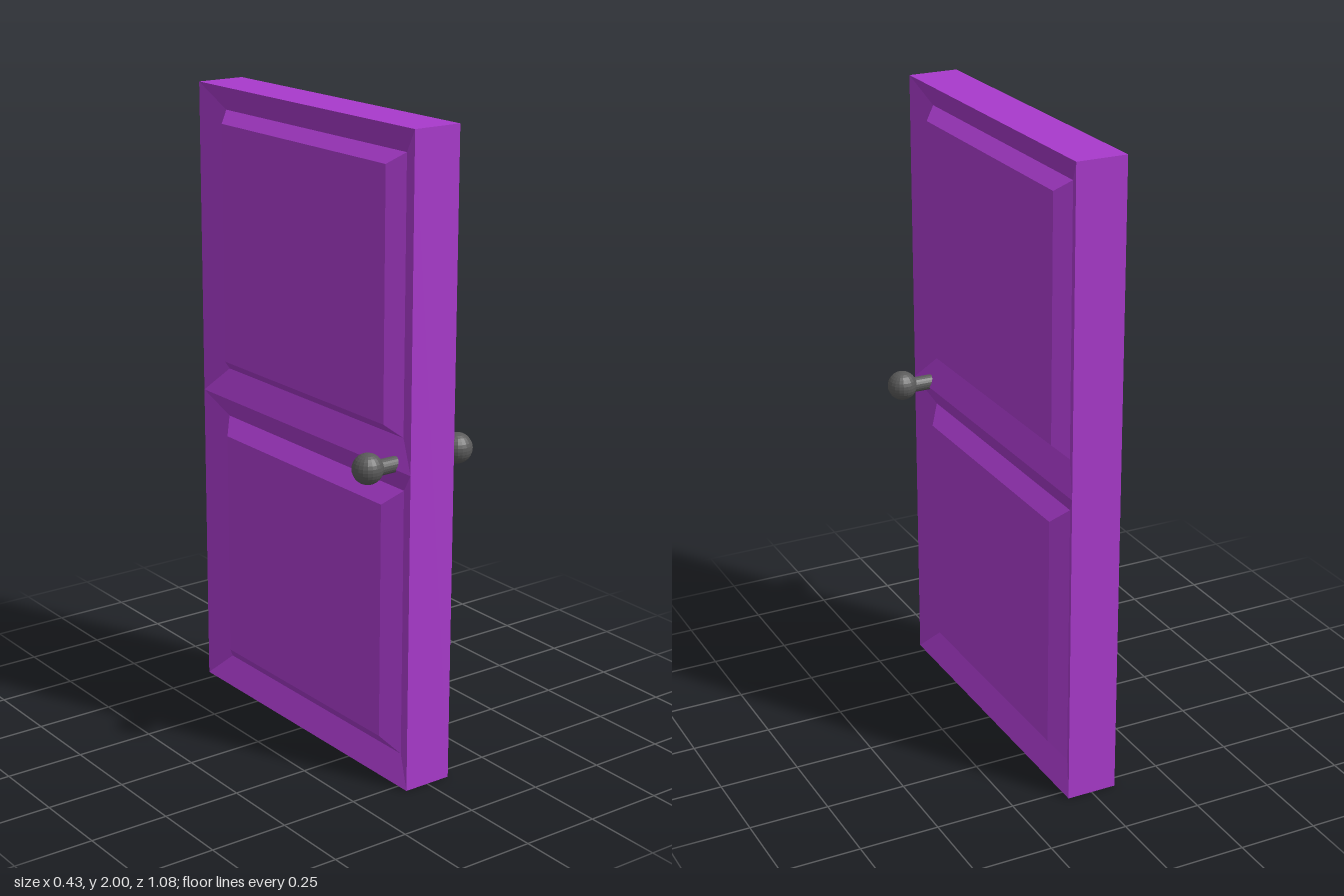
import * as THREE from 'three';

const T = 0.08;      // half thickness of the door
const W = 0.54;      // half width
const DEPTH = 0.04;  // groove depth
const RAISE = 0.082; // height of the raised fields

const paint = new THREE.MeshStandardMaterial({ color: 0xa83acb, flatShading: true });
const metal = new THREE.MeshStandardMaterial({ color: 0x5a5a5a, flatShading: true });

// Flat-shaded geometry from four-cornered faces, anticlockwise seen from outside
function quadsGeometry(quads) {
  const points = quads.flatMap(([a, b, c, d]) => [a, b, c, a, c, d]);
  const g = new THREE.BufferGeometry();
  g.setAttribute('position', new THREE.Float32BufferAttribute(points.flat(), 3));
  g.computeVertexNormals();
  return g;
}

// Rectangle at depth x, anticlockwise seen from +x
const rect = (x, y0, y1, zFront, zBack) => [
  [x, y0, zFront], [x, y0, zBack], [x, y1, zBack], [x, y1, zFront],
];

// Sloped groove and raised field, built from nested rectangles
function panelGeometry(loops, side) {
  const quads = [];
  for (let k = 0; k < loops.length - 1; k++) {
    for (let i = 0; i < 4; i++) {
      const j = (i + 1) % 4;
      quads.push([loops[k][i], loops[k][j], loops[k + 1][j], loops[k + 1][i]]);
    }
  }
  quads.push(loops[loops.length - 1]);
  // mirror to the other face and turn the corners round
  const placed = side > 0 ? quads
    : quads.map(q => q.map(([x, y, z]) => [-x, y, z]).reverse());
  return quadsGeometry(placed);
}

function addMesh(parent, name, geometry, material) {
  const mesh = new THREE.Mesh(geometry, material);
  mesh.name = name;
  parent.add(mesh);
  return mesh;
}

export function createModel() {
  const door = new THREE.Group();
  door.name = 'door';

  // Narrow edges round the slab
  const right = rect(T, 0, 2, W, -W);
  const left = rect(-T, 0, 2, W, -W);
  addMesh(door, 'doorEdges', quadsGeometry(right.map((p, i) => {
    const j = (i + 1) % 4;
    return [left[i], left[j], right[j], p];
  })), paint);

  // Two panels on each face
  for (const side of [1, -1]) {
    const name = side > 0 ? 'left' : 'right';
    addMesh(door, name + 'UpperPanel', panelGeometry([
      rect(T, 1, 2, W, -W),
      rect(T - DEPTH, 1.085, 1.92, 0.455, -0.45),
      rect(RAISE, 1.123, 1.885, 0.413, -0.413),
    ], side), paint);
    addMesh(door, name + 'LowerPanel', panelGeometry([
      rect(T, 0, 1, W, -W),
      rect(T - DEPTH, 0.08, 0.925, 0.46, -0.455),
      rect(RAISE, 0.13, 0.875, 0.405, -0.405),
    ], side), paint);

    // Knob
    addMesh(door, name + 'Knob', new THREE.SphereGeometry(0.047, 20, 14), metal)
      .position.set(side * 0.166, 1.015, 0.45);
  }

  // Spindle through the door
  const spindle = addMesh(door, 'spindle', new THREE.CylinderGeometry(0.024, 0.024, 0.33, 20), metal);
  spindle.rotation.z = Math.PI / 2;
  spindle.position.set(0, 1.01, 0.45);

  return door;
}
